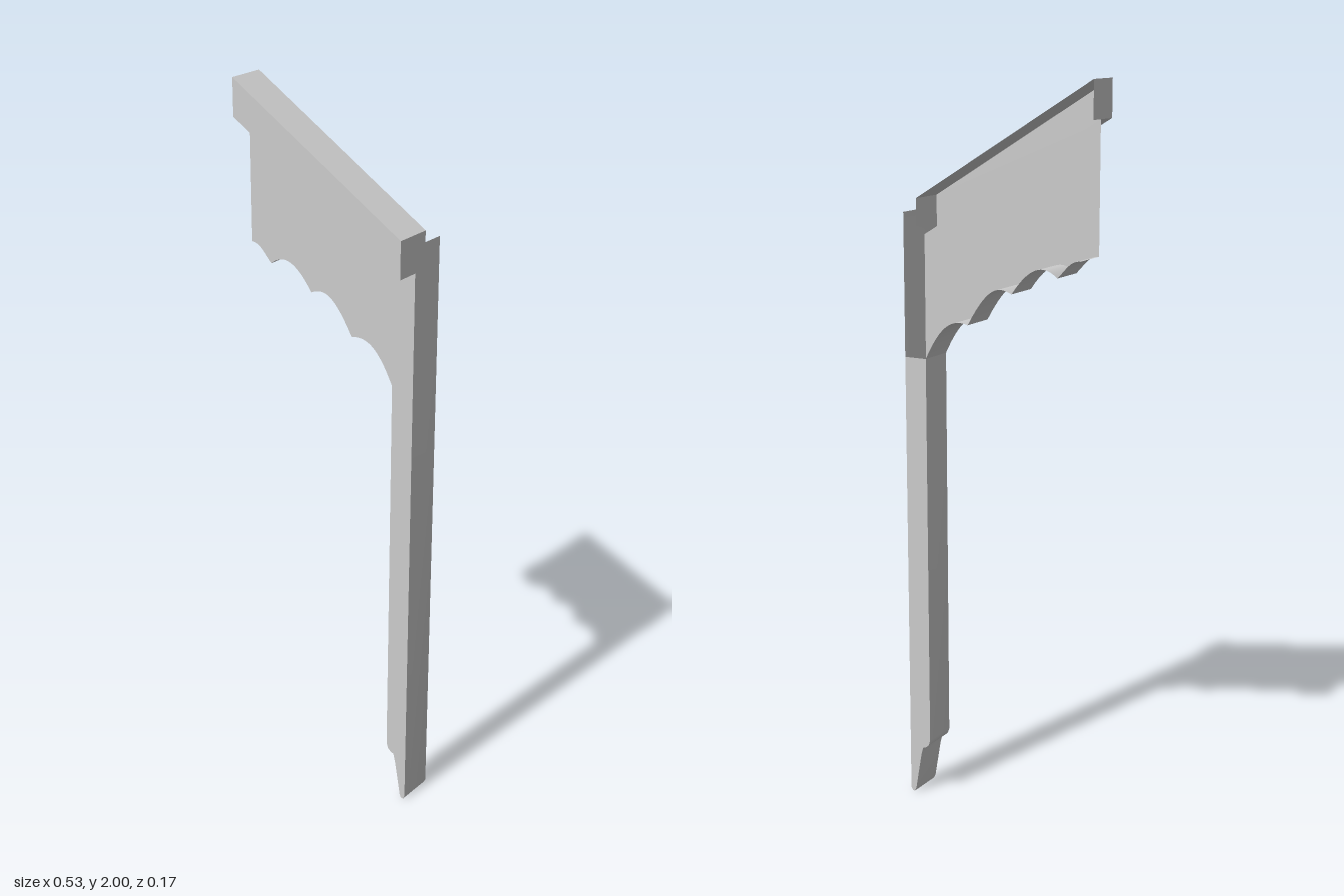
import * as THREE from 'three';
import { toCreasedNormals } from 'three/addons/utils/BufferGeometryUtils.js';

const X = 0.263, BACK = -0.083, FACE = 0.02, FRONT = 0.083, BAR_BACK = -0.021;
const material = new THREE.MeshStandardMaterial({ color: 0xcccccc, side: THREE.DoubleSide });

function addMesh(group, name, geometry) {
  const mesh = new THREE.Mesh(geometry, material);
  mesh.name = name;
  group.add(mesh);
}

// Flat sheet with the given outline, facing +z or -z
function sheet(points, z, facesBack = false) {
  const geometry = new THREE.ShapeGeometry(new THREE.Shape(points));
  if (facesBack) geometry.scale(-1, 1, 1).rotateY(Math.PI);
  return geometry.translate(0, 0, z);
}

// Mirrored sheets need their corner order restored
function backSheet(points, z) {
  const mirrored = points.map((p) => new THREE.Vector2(-p.x, p.y));
  return new THREE.ShapeGeometry(new THREE.Shape(mirrored)).rotateY(Math.PI).translate(0, 0, z);
}

// Strip running along a path, from depth z0 to z1; outside is right of the path
function wall(points, z0, z1) {
  const positions = [];
  for (let i = 0; i < points.length - 1; i++) {
    const a = points[i], b = points[i + 1];
    positions.push(a.x, a.y, z1, a.x, a.y, z0, b.x, b.y, z0);
    positions.push(a.x, a.y, z1, b.x, b.y, z0, b.x, b.y, z1);
  }
  const geometry = new THREE.BufferGeometry();
  geometry.setAttribute('position', new THREE.Float32BufferAttribute(positions, 3));
  return toCreasedNormals(geometry, 0.6);
}

const v = (x, y) => new THREE.Vector2(x, y);

export function createModel() {
  const group = new THREE.Group();
  group.name = 'roofBracket';

  // Scalloped lower edge, one curve between each pair of cusps
  const scallops = new THREE.Path();
  scallops.moveTo(-X, 1.555);
  scallops.bezierCurveTo(-0.235, 1.555, -0.225, 1.535, -0.198, 1.508);
  scallops.bezierCurveTo(-0.165, 1.535, -0.125, 1.545, -0.065, 1.457);
  scallops.bezierCurveTo(-0.025, 1.475, 0.005, 1.475, 0.067, 1.365);
  scallops.bezierCurveTo(0.12, 1.38, 0.155, 1.35, 0.198, 1.262);
  const edge = scallops.getPoints(14);

  // Post outline below the scallops, ending in a tapered foot
  const post = [
    v(0.198, 1.262), v(0.198, 0.165), v(0.203, 0.15), v(0.212, 0.142), v(0.222, 0.138),
    v(0.228, 0.115), v(0.246, 0.012), v(0.251, 0), v(0.258, 0), v(X, 0.01),
  ];

  // Front panel and the walls behind its edges; the back of the panel is open
  const lower = [...edge, ...post.slice(1)];
  addMesh(group, 'frontPanel', sheet([v(-X, 1.9), ...lower, v(X, 1.58)], FACE));
  addMesh(group, 'scallopEdge', wall(edge, BACK, FACE));
  addMesh(group, 'postSides', wall([...post, v(X, 1.65)], BACK, FACE));
  addMesh(group, 'postBack', backSheet([...post, v(X, 1.262)], BACK));

  // Sloping bar along the top, hollow and open at the back
  const topLeft = v(-X, 2), topRight = v(X, 1.68), lowLeft = v(-X, 1.9), lowRight = v(X, 1.58);
  addMesh(group, 'barFront', sheet([lowLeft, lowRight, topRight, topLeft], FRONT));
  addMesh(group, 'barTopAndEnds', wall([lowRight, topRight, topLeft, lowLeft], BAR_BACK, FRONT));
  addMesh(group, 'barUnderside', wall([lowLeft, lowRight], FACE, FRONT));

  return group;
}
